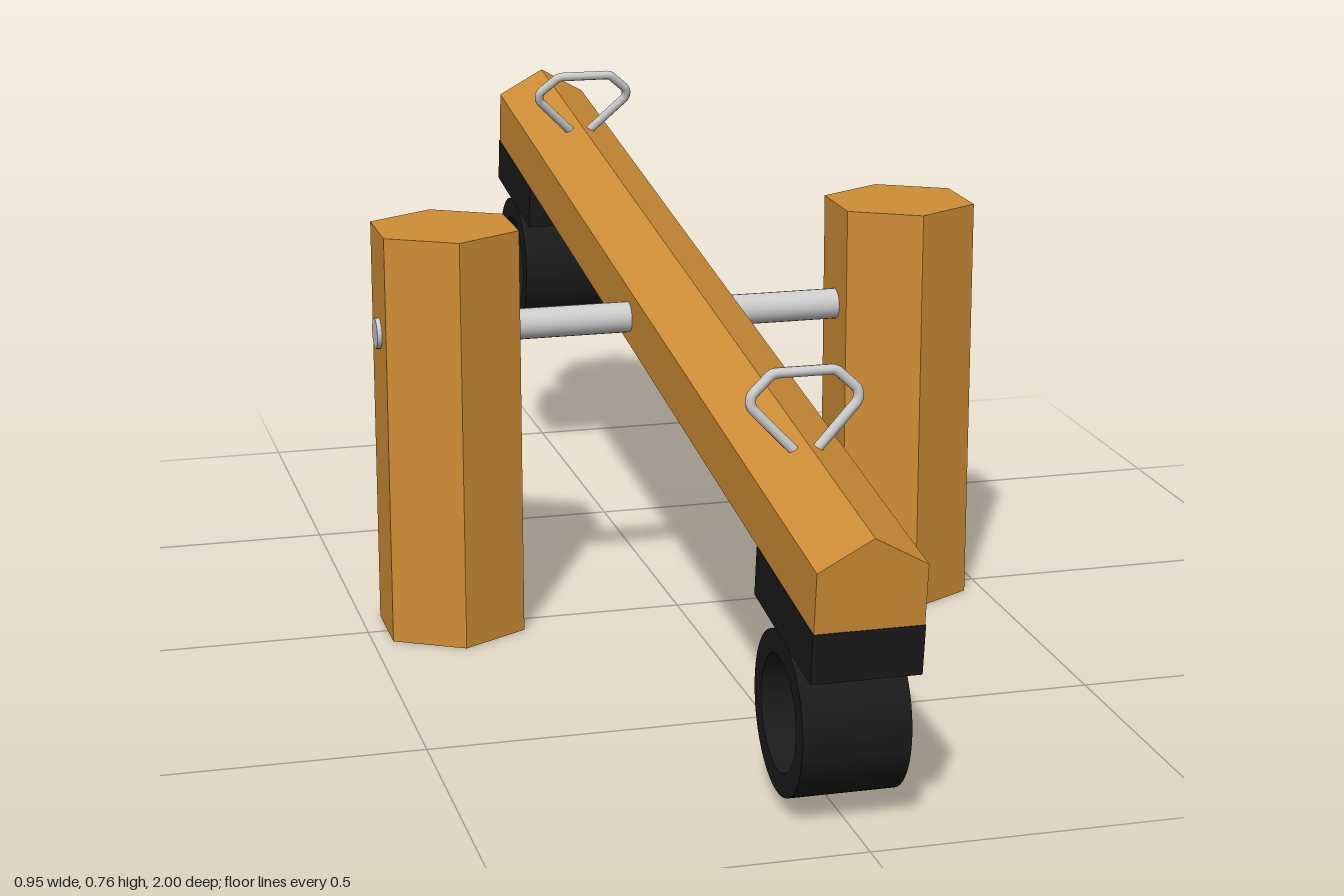
import * as THREE from 'three';
import { toCreasedNormals } from 'three/addons/utils/BufferGeometryUtils.js';

const wood = new THREE.MeshStandardMaterial({ color: 0xd08e36, flatShading: true });
const rubber = new THREE.MeshStandardMaterial({ color: 0x1a1a1a });
const metal = new THREE.MeshStandardMaterial({ color: 0xcccccc });

function add(parent, name, geometry, material, x = 0, y = 0, z = 0) {
  const mesh = new THREE.Mesh(geometry, material);
  mesh.name = name;
  mesh.position.set(x, y, z);
  parent.add(mesh);
  return mesh;
}

// Short tube lying along x, centred on the origin
function tyreGeometry(outer, inner, width) {
  const ring = new THREE.Shape().absarc(0, 0, outer, 0, Math.PI * 2);
  ring.holes.push(new THREE.Path().absarc(0, 0, inner, 0, Math.PI * 2, true));
  const geo = new THREE.ExtrudeGeometry(ring, { depth: width, bevelEnabled: false, curveSegments: 40 });
  geo.translate(0, 0, -width / 2).rotateY(Math.PI / 2);
  return toCreasedNormals(geo, 0.6);
}

// Bent rod handle: straight runs joined by small rounded bends
function handleGeometry() {
  const half = [[0.013, -0.008], [0.077, 0.06], [0.077, 0.075], [0.045, 0.105]];
  const pts = [...half.map(([x, y]) => [-x, y]), ...half.slice().reverse()]
    .map(([x, y]) => new THREE.Vector3(x, y, 0));
  const path = new THREE.CurvePath();
  let from = pts[0];
  for (let i = 1; i < pts.length - 1; i++) {
    const a = pts[i].clone().add(pts[i - 1].clone().sub(pts[i]).setLength(0.007));
    const b = pts[i].clone().add(pts[i + 1].clone().sub(pts[i]).setLength(0.007));
    path.add(new THREE.LineCurve3(from, a));
    path.add(new THREE.QuadraticBezierCurve3(a, pts[i], b));
    from = b;
  }
  path.add(new THREE.LineCurve3(from, pts[pts.length - 1]));
  return new THREE.TubeGeometry(path, 120, 0.0075, 10, false);
}

export function createModel() {
  const model = new THREE.Group();
  model.name = 'seesaw';

  // Hexagonal posts either side of the beam
  for (const s of [-1, 1]) {
    add(model, s > 0 ? 'leftPost' : 'rightPost',
      new THREE.CylinderGeometry(0.12, 0.12, 0.642, 6), wood, s * 0.365, 0.321, -0.01);
  }

  // Pivot axle through both posts
  add(model, 'axle', new THREE.CylinderGeometry(0.024, 0.024, 0.952, 24), metal, 0, 0.48, -0.01)
    .rotation.z = Math.PI / 2;

  // Everything that tips: front end down
  const tipping = new THREE.Group();
  tipping.name = 'tippingBeam';
  tipping.position.set(0, 0.48, 0.002);
  tipping.rotation.x = 0.1337;
  model.add(tipping);

  add(tipping, 'beam', new THREE.CylinderGeometry(0.0877, 0.0877, 1.988, 6), wood)
    .rotation.x = -Math.PI / 2;

  for (const s of [-1, 1]) {
    const end = s > 0 ? 'front' : 'back';
    // Rubber block under the end, with a tyre as buffer below it
    add(tipping, end + 'Block', new THREE.BoxGeometry(0.154, 0.073, 0.266), rubber, 0, -0.0805, s * 0.862);
    add(tipping, end + 'Tyre', tyreGeometry(0.115, 0.082, 0.152), rubber, 0, -0.231, s * 0.861);

    // Handle leaning towards the pivot
    const handle = add(tipping, end + 'Handle', handleGeometry(), metal, 0, 0.079, s * 0.683);
    handle.rotation.x = -s * 0.22;
  }
  return model;
}
